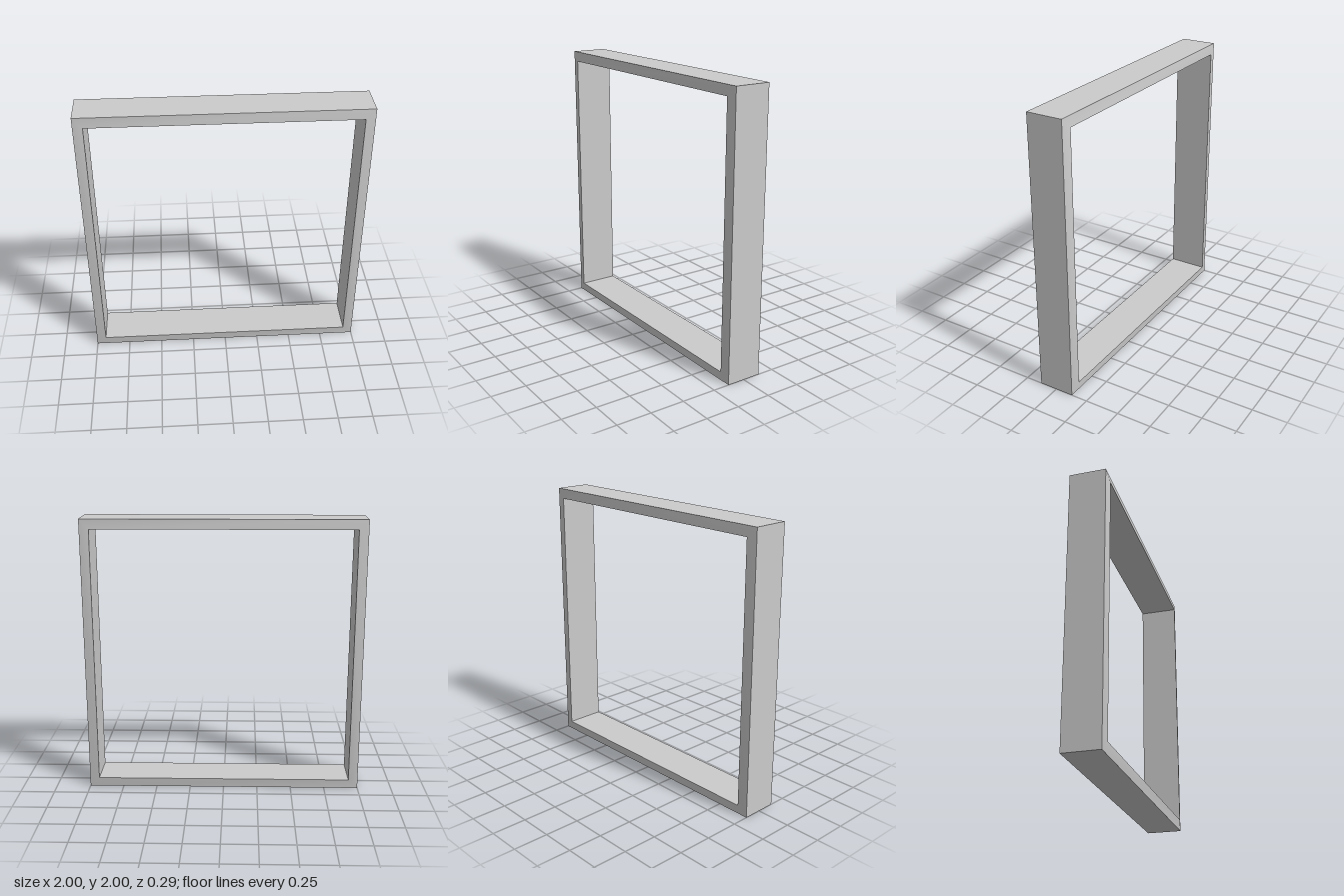
import * as THREE from 'three';
import { toCreasedNormals } from 'three/addons/utils/BufferGeometryUtils.js';

// Sweeps a closed section of [half size, z] points round a mitred square.
function squareFrame(section) {
  const corners = [[1, 1], [-1, 1], [-1, -1], [1, -1]];
  const n = section.length;
  const positions = [];
  const indices = [];
  corners.forEach(([sx, sy], k) => {
    section.forEach(([r, z], j) => {
      positions.push(sx * r, sy * r, z);
      const next = (k + 1) % 4;
      const a = k * n + j, b = next * n + j;
      const c = next * n + (j + 1) % n, d = k * n + (j + 1) % n;
      indices.push(a, b, c, a, c, d);
    });
  });
  const geometry = new THREE.BufferGeometry();
  geometry.setAttribute('position', new THREE.Float32BufferAttribute(positions, 3));
  geometry.setIndex(indices);
  return toCreasedNormals(geometry, Math.PI / 6);
}

export function createModel() {
  const group = new THREE.Group();
  group.name = 'squareFrame';

  // The front and back faces rise slightly towards the opening.
  const outer = 1, inner = 0.93, outerZ = 0.13, innerZ = 0.143;
  const section = [[outer, outerZ], [inner, innerZ], [inner, -innerZ], [outer, -outerZ]];

  const frame = new THREE.Mesh(
    squareFrame(section),
    new THREE.MeshStandardMaterial({ color: 0xcccccc })
  );
  frame.name = 'frame';
  frame.position.y = 1;
  group.add(frame);
  return group;
}
